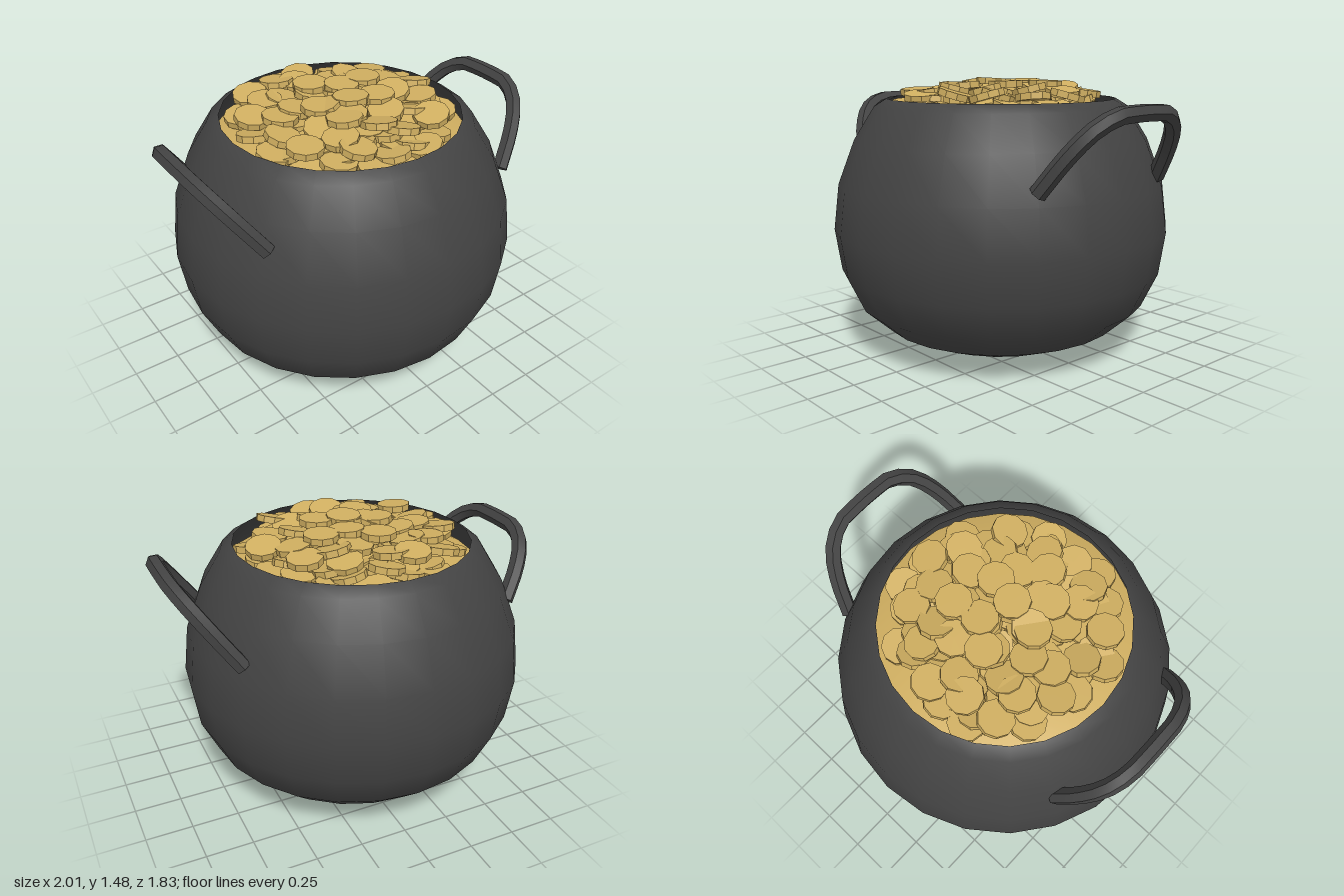
import * as THREE from 'three';
import { toCreasedNormals } from 'three/addons/utils/BufferGeometryUtils.js';

const POT_X = -0.04; // the pot body sits slightly off centre

export function createModel() {
  const iron = new THREE.MeshStandardMaterial({ color: 0x434343, side: THREE.DoubleSide });
  iron.name = 'dark iron';
  const gold = new THREE.MeshStandardMaterial({ color: 0xcfae60 });
  gold.name = 'gold';

  const model = new THREE.Group();
  model.name = 'potOfCoins';
  const add = (name, geometry, material, parent = model) => {
    const mesh = new THREE.Mesh(geometry, material);
    mesh.name = name;
    parent.add(mesh);
    return mesh;
  };

  // Round open pot, a thin shell
  const profile = [
    [0, 0], [0.23, 0.015], [0.46, 0.055], [0.65, 0.135], [0.795, 0.265], [0.882, 0.45],
    [0.915, 0.675], [0.885, 0.92], [0.795, 1.155], [0.685, 1.33], [0.62, 1.37],
  ].map(([r, y]) => new THREE.Vector2(r, y));
  add('pot', new THREE.LatheGeometry(profile, 24), iron).position.x = POT_X;

  // Arched six-sided handles, leaning outwards
  const section = new THREE.Shape(Array.from({ length: 6 }, (_, i) => {
    const a = (i / 6) * Math.PI * 2;
    return new THREE.Vector2(Math.cos(a) * 0.043, Math.sin(a) * 0.043);
  }));
  const arch = [[0.425, 0.98], [0.36, 1.155], [0.28, 1.27], [0.17, 1.33], [0.06, 1.338]];
  const handle = (name, side, topX, footY) => {
    const half = arch.map(([z, y]) => {
      const t = (1.338 - y) / 0.358; // 0 at the crown, 1 at the foot
      return new THREE.Vector3(side * (topX - 0.7 * t * (1.338 - footY)), 1.338 - t * (1.338 - footY), z);
    });
    const other = half.map((p) => new THREE.Vector3(p.x, p.y, -p.z)).reverse();
    const path = new THREE.CatmullRomCurve3([...half, ...other]);
    const geometry = new THREE.ExtrudeGeometry(section, { steps: 18, extrudePath: path, bevelEnabled: false });
    add(name, toCreasedNormals(geometry, 0.5), iron).position.z = 0.015;
  };
  handle('leftHandle', 1, 0.96, 0.98);
  handle('rightHandle', -1, 0.96, 1.04);

  // Low heap that closes the gaps beneath the coins
  const heap = [[0.66, 1.25], [0.5, 1.31], [0.25, 1.35], [0, 1.36]].map(([r, y]) => new THREE.Vector2(r, y));
  add('coinHeap', new THREE.LatheGeometry(heap, 24), gold).position.x = POT_X;

  // Loose coins, scattered in layers on a sunflower spiral
  let seed = 7;
  const random = () => {
    seed = (seed * 16807) % 2147483647;
    return seed / 2147483647;
  };
  const coins = new THREE.Group();
  coins.name = 'coins';
  coins.position.x = POT_X;
  model.add(coins);
  const coinGeometry = toCreasedNormals(new THREE.CylinderGeometry(0.092, 0.092, 0.034, 10), 0.4);
  const layer = (count, reach, height, drop, tilt) => {
    for (let i = 0; i < count; i++) {
      const r = reach * Math.sqrt((i + 0.5) / count);
      const a = i * 2.39996 + random() * 0.25;
      const coin = add('coin', coinGeometry, gold, coins);
      const y = height - drop * r * r + (random() - 0.5) * 0.03;
      coin.position.set(Math.sin(a) * r, y, Math.cos(a) * r);
      coin.rotation.set((random() - 0.5) * tilt, random() * 6.28, (random() - 0.5) * tilt, 'XZY');
    }
  };
  layer(62, 0.54, 1.37, 0.15, 0.5);
  layer(34, 0.5, 1.425, 0.16, 0.5);
  layer(7, 0.26, 1.45, 0.1, 0.2);

  return model;
}
